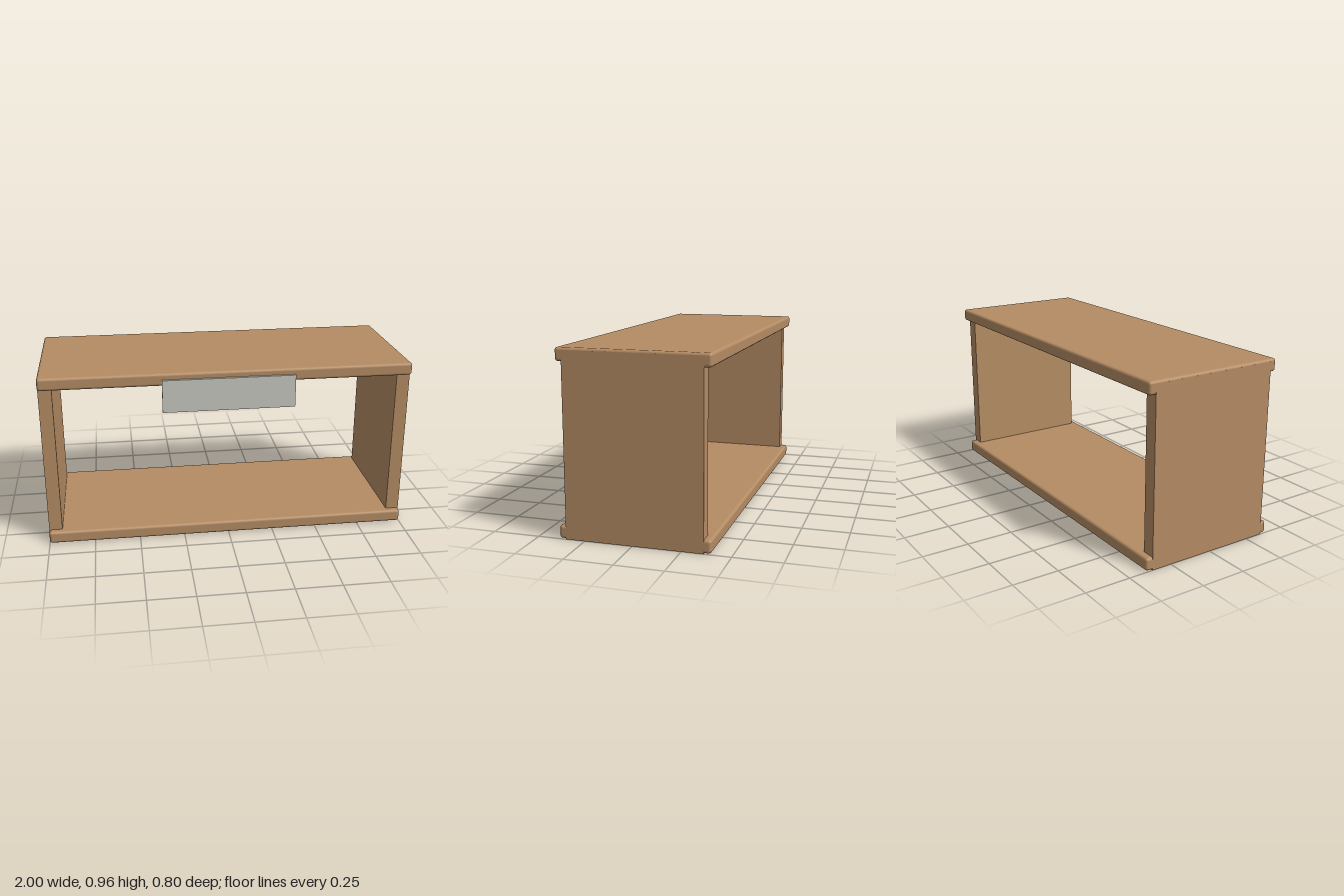
import * as THREE from 'three';
import { RoundedBoxGeometry } from 'three/addons/geometries/RoundedBoxGeometry.js';

export function createModel() {
  const group = new THREE.Group();
  const wood = new THREE.MeshStandardMaterial({ color: 0xb48c64 });
  wood.name = 'wood';
  const grey = new THREE.MeshStandardMaterial({ color: 0xc8c8c2 });
  grey.name = 'pale grey';

  // Box given by its min and max corners, with optional rounded edges
  function addBox(name, min, max, material, radius = 0) {
    const size = max.map((v, i) => v - min[i]);
    const geometry = radius
      ? new RoundedBoxGeometry(...size, 4, radius)
      : new THREE.BoxGeometry(...size);
    const mesh = new THREE.Mesh(geometry, material);
    mesh.name = name;
    mesh.position.set(...max.map((v, i) => (v + min[i]) / 2));
    group.add(mesh);
  }

  // Top and bottom boards with softened edges
  addBox('topBoard', [-1, 0.895, -0.4], [1, 0.963, 0.385], wood, 0.015);
  addBox('bottomBoard', [-1, 0.002, -0.4], [1, 0.07, 0.385], wood, 0.015);

  // Square-edged side panels, set back from the board edges
  addBox('leftPanel', [0.928, 0, -0.363], [1, 0.95, 0.35], wood);
  addBox('rightPanel', [-1, 0, -0.363], [-0.928, 0.95, 0.35], wood);

  // Plate hanging on the front edge of the top board
  addBox('frontPlate', [-0.357, 0.752, 0.385], [0.355, 0.93, 0.4], grey);

  return group;
}
